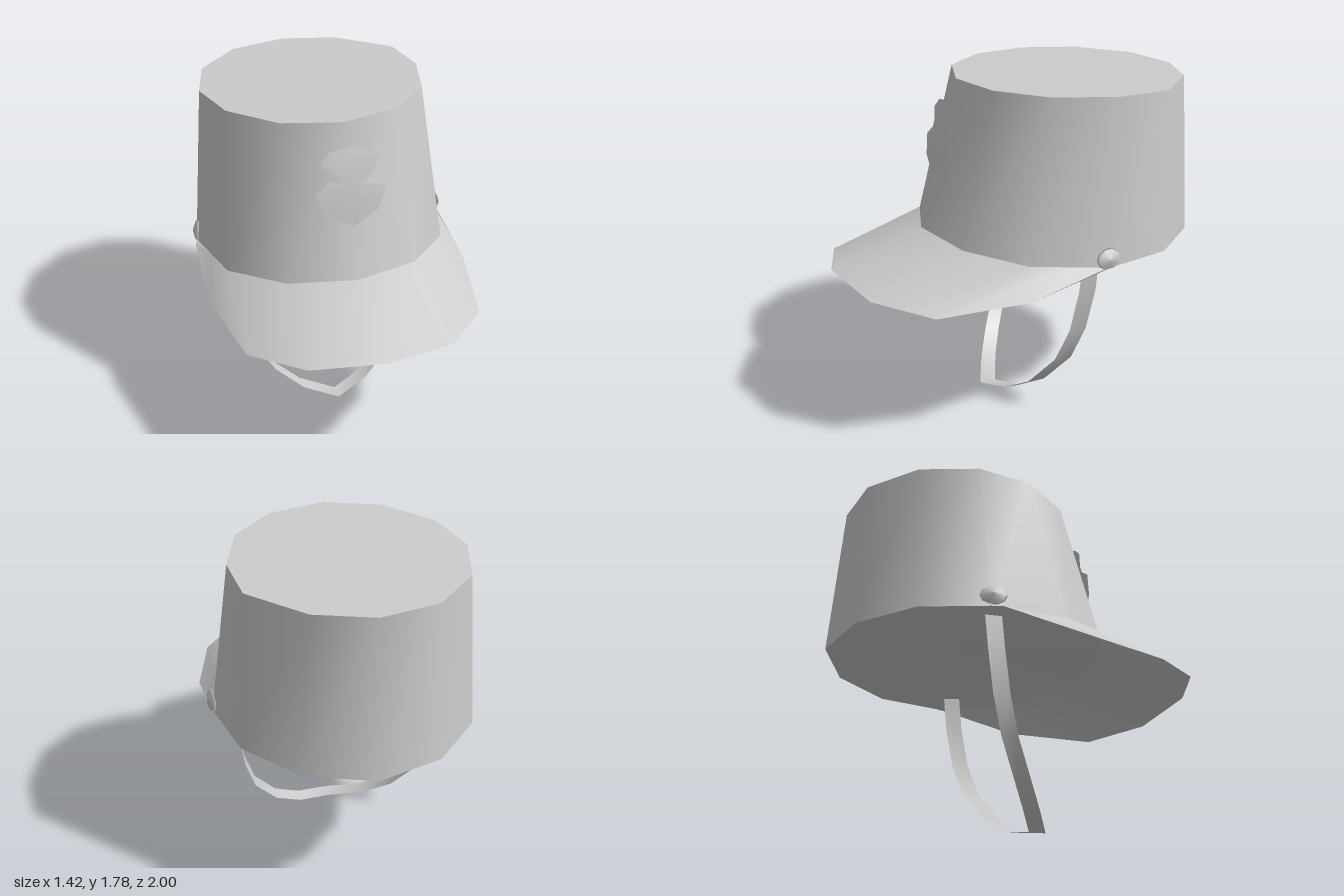
import * as THREE from 'three';

const material = new THREE.MeshStandardMaterial({ color: 0xcccccc });
const thin = new THREE.MeshStandardMaterial({ color: 0xcccccc, side: THREE.DoubleSide });

function makeMesh(name, points, index, mat) {
  const geo = new THREE.BufferGeometry();
  geo.setAttribute('position', new THREE.Float32BufferAttribute(points.flat(), 3));
  geo.setIndex(index);
  geo.computeVertexNormals();
  const mesh = new THREE.Mesh(geo, mat);
  mesh.name = name;
  return mesh;
}

// Smooth skin between two rows of points, optionally closed into a ring
function strip(name, lower, upper, mat, closed = false) {
  const n = lower.length, index = [];
  for (let i = 0; i < (closed ? n : n - 1); i++) {
    const j = (i + 1) % n;
    index.push(j, i, n + i, j, n + i, n + j);
  }
  return makeMesh(name, [...lower, ...upper], index, mat);
}

// Triangle fan closing an outline around a centre point
function fan(name, centre, outline, mat, flip = false) {
  const n = outline.length, index = [];
  for (let i = 0; i < n; i++) {
    const a = i + 1, b = ((i + 1) % n) + 1;
    index.push(0, ...(flip ? [a, b] : [b, a]));
  }
  return makeMesh(name, [centre, ...outline], index, mat);
}

export function createModel() {
  const group = new THREE.Group();

  // Crown: tapering twelve-sided oval, from the back round by the left side
  const top = [[-0.02, -0.94], [0.275, -0.86], [0.535, -0.62], [0.575, -0.33], [0.495, -0.015], [0.285, 0.21],
    [-0.01, 0.298], [-0.31, 0.215], [-0.53, -0.015], [-0.61, -0.31], [-0.54, -0.62], [-0.32, -0.86]]
    .map(([x, z]) => [x, 1.772 + 0.028 * z + 0.01 * x, z]);
  const rim = [[-0.02, 0.907, -1], [0.33, 0.912, -0.89], [0.58, 0.917, -0.62], [0.68, 0.925, -0.26],
    [0.585, 0.957, 0.14], [0.34, 0.988, 0.4], [0, 1.005, 0.51], [-0.34, 0.98, 0.41],
    [-0.595, 0.943, 0.15], [-0.685, 0.91, -0.26], [-0.6, 0.905, -0.61], [-0.36, 0.904, -0.88]];
  group.add(strip('crownWall', rim, top, material, true));
  group.add(fan('crownTop', [-0.02, 1.763, -0.32], top, material));

  // Lining: shallow hollow under the crown
  group.add(fan('crownLining', [0, 1.02, -0.25], rim, material, true));

  // Visor: fans out from the front half of the rim
  const mid = (a, b) => a.map((v, i) => (v + b[i]) / 2);
  const inner = [rim[3], mid(rim[3], rim[4]), ...rim.slice(4, 9), mid(rim[8], rim[9]), rim[9]];
  const outer = [[0.69, 0.92, -0.2], [0.71, 0.825, 0.18], [0.62, 0.78, 0.64], [0.38, 0.812, 0.9],
    [0, 0.843, 1], [-0.36, 0.803, 0.9], [-0.605, 0.763, 0.65], [-0.71, 0.805, 0.2], [-0.7, 0.908, -0.2]];
  group.add(strip('visor', outer, inner, thin));

  // Chin strap: thin ribbon, half path (x, y, front z) mirrored
  const half = [[0.545, 0.97, -0.175], [0.545, 0.75, -0.155], [0.515, 0.52, -0.12], [0.457, 0.33, -0.066],
    [0.33, 0.15, 0.032], [0.185, 0.05, 0.113]];
  const front = [...half, [0, 0, 0.19], ...half.map(([x, y, z]) => [-x, y, z]).reverse()];
  const back = front.map(([x, y, z]) => [x * 1.012, y, z - 0.089]);
  group.add(strip('chinStrap', front, back, thin));

  // Shield badge: outline on a sloping plane with a raised middle
  const shield = [[0, 1.675], [0.1, 1.657], [0.14, 1.605], [0.105, 1.54], [0.11, 1.505], [0.175, 1.46],
    [0.13, 1.35], [0, 1.28], [-0.14, 1.355], [-0.187, 1.455], [-0.125, 1.505], [-0.12, 1.54],
    [-0.155, 1.605], [-0.105, 1.655]]
    .map(([x, y]) => [x, y, 0.352 + (1.675 - y) * 0.223]);
  group.add(fan('badge', [0, 1.49, 0.413], shield, thin));

  // Side buttons: thin domed discs lying along the sloping wall
  const profile = [[0, -0.008], [0.07, -0.008], [0.062, 0.006], [0, 0.022]].map((p) => new THREE.Vector2(...p));
  for (const side of [-1, 1]) {
    const button = new THREE.Mesh(new THREE.LatheGeometry(profile, 10), material);
    button.name = side > 0 ? 'leftButton' : 'rightButton';
    button.scale.x = 0.8;
    button.rotation.set(0, side * 0.15, -side * (Math.PI / 2 - 0.12), 'YZX');
    button.position.set(side * 0.683, 0.975, -0.248);
    group.add(button);
  }
  return group;
}
